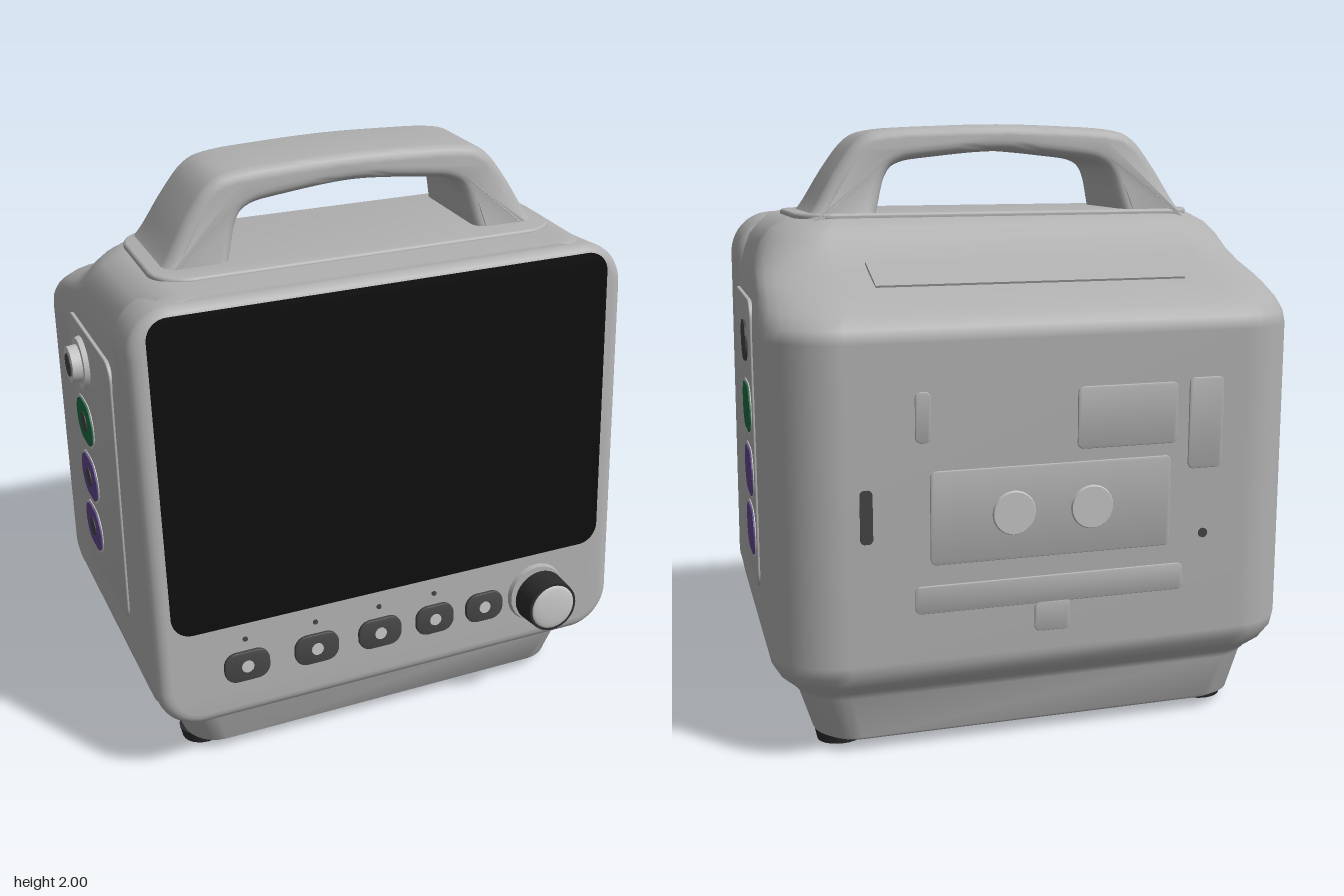
import * as THREE from 'three';
import { toCreasedNormals } from 'three/addons/utils/BufferGeometryUtils.js';

const CX = 0.02; // centre line of the casing

const mat = (name, color) => Object.assign(new THREE.MeshStandardMaterial({ color }), { name });

function add(parent, name, geo, material, x = 0, y = 0, z = 0) {
  const m = new THREE.Mesh(geo, material);
  m.name = name;
  m.position.set(x, y, z);
  parent.add(m);
  return m;
}

// Rounded plate in the xy plane, from z = 0 to z = depth
function plate(w, h, r, depth, bevel = 0) {
  const s = new THREE.Shape(), a = w / 2, b = h / 2;
  s.absarc(a - r, b - r, r, 0, Math.PI / 2);
  s.absarc(-a + r, b - r, r, Math.PI / 2, Math.PI);
  s.absarc(-a + r, -b + r, r, Math.PI, Math.PI * 1.5);
  s.absarc(a - r, -b + r, r, Math.PI * 1.5, Math.PI * 2);
  s.closePath();
  const g = new THREE.ExtrudeGeometry(s, {
    depth: depth - 2 * bevel, bevelEnabled: bevel > 0, bevelSize: bevel, bevelThickness: bevel,
    bevelOffset: -bevel, bevelSegments: 5, curveSegments: 8,
  });
  g.translate(0, 0, bevel);
  return toCreasedNormals(g, 0.6);
}

// Round part whose axis is z, from z = 0 to z = depth
function round(r0, r1, depth, sides = 32) {
  return new THREE.CylinderGeometry(r1, r0, depth, sides).rotateX(Math.PI / 2).translate(0, 0, depth / 2);
}

// Casing lofted from horizontal rounded sections: y, front z, back z, half width, front radius, back radius
function casingGeometry() {
  const sections = [
    [0.03, 0.44, -0.57, 0.71, 0.1, 0.12], [0.05, 0.48, -0.6, 0.74, 0.12, 0.14],
    [0.19, 0.505, -0.615, 0.785, 0.12, 0.15], [0.22, 0.52, -0.64, 0.81, 0.12, 0.17],
    [0.26, 0.54, -0.69, 0.85, 0.1, 0.2], [0.3, 0.55, -0.72, 0.873, 0.08, 0.22],
    [0.34, 0.55, -0.726, 0.88, 0.06, 0.22], [1.35, 0.46, -0.726, 0.88, 0.06, 0.22],
    [1.39, 0.455, -0.712, 0.878, 0.06, 0.22], [1.43, 0.45, -0.67, 0.874, 0.06, 0.23],
    [1.47, 0.45, -0.6, 0.868, 0.06, 0.24], [1.5, 0.445, -0.53, 0.865, 0.06, 0.25],
    [1.53, 0.44, -0.44, 0.86, 0.06, 0.25], [1.57, 0.44, -0.34, 0.85, 0.06, 0.22],
    [1.62, 0.435, -0.28, 0.83, 0.06, 0.2], [1.66, 0.43, -0.24, 0.795, 0.06, 0.18],
    [1.69, 0.425, -0.21, 0.74, 0.06, 0.16], [1.7, 0.42, -0.18, 0.68, 0.06, 0.14],
  ];
  const pos = [], idx = [], seg = 7, n = seg * 4 + 4;
  for (const [y, zf, zb, hw, rf, rb] of sections) {
    for (let k = 0; k < 4; k++) {
      const r = k < 2 ? rf : rb, sx = k === 0 || k === 3 ? 1 : -1;
      for (let j = 0; j <= seg; j++) {
        const a = (k + j / seg) * Math.PI / 2;
        const z = (k < 2 ? zf - rf : zb + rb) + r * Math.sin(a);
        const narrowing = 1 - 0.028 * Math.max(0, z + 0.5); // sides close in towards the front
        pos.push(CX + (sx * (hw - r) + r * Math.cos(a)) * narrowing, y, z);
      }
    }
  }
  const rows = sections.length;
  for (let i = 0; i < rows - 1; i++) {
    for (let j = 0; j < n; j++) {
      const p = i * n + j, q = i * n + (j + 1) % n;
      idx.push(p, p + n, q, q, p + n, q + n);
    }
  }
  const bottom = rows * n, top = bottom + 1;
  pos.push(CX, 0.03, -0.05, CX, 1.7, 0.1);
  for (let j = 0; j < n; j++) {
    const q = (j + 1) % n, t = (rows - 1) * n;
    idx.push(bottom, j, q, top, t + q, t + j);
  }
  const g = new THREE.BufferGeometry();
  g.setAttribute('position', new THREE.Float32BufferAttribute(pos, 3));
  g.setIndex(idx);
  g.computeVertexNormals();
  return g;
}

// Arched carrying handle, thickening towards its feet
function handleGeometry() {
  const arch = (half) => {
    const right = half.slice(0, -1).reverse().map(([x, y]) => [-x, y]);
    return new THREE.SplineCurve([...half, ...right].map(([x, y]) => new THREE.Vector2(x, y))).getPoints(56);
  };
  const outer = arch([[-0.71, 1.66], [-0.65, 1.72], [-0.57, 1.85], [-0.49, 1.95], [-0.4, 1.983], [-0.2, 1.995], [0, 2]]);
  const inner = arch([[-0.45, 1.66], [-0.43, 1.73], [-0.4, 1.83], [-0.355, 1.872], [-0.25, 1.89], [0, 1.91]]);
  const bevel = 0.035;
  let g = new THREE.ExtrudeGeometry(new THREE.Shape([...outer, ...inner.reverse()]), {
    depth: 0.24, bevelEnabled: true, bevelSize: bevel, bevelThickness: bevel, bevelOffset: -bevel, bevelSegments: 5,
  });
  g.translate(0, 0, -0.12);
  const p = g.attributes.position;
  for (let i = 0; i < p.count; i++) {
    const t = THREE.MathUtils.clamp((1.99 - p.getY(i)) / 0.33, 0, 1);
    p.setZ(i, p.getZ(i) * (1 + 0.2 * t + 0.22 * t ** 4));
  }
  return toCreasedNormals(g, 0.7);
}

export function createModel() {
  const model = new THREE.Group();
  model.name = 'bedsideMonitor';
  const shell = mat('shellGrey', 0xb0b0b0);
  const light = mat('lightGrey', 0xc4c4c4);
  const black = mat('screenBlack', 0x0d0d0d);
  const dark = mat('darkGrey', 0x444444);
  const rubber = mat('rubber', 0x2b2b2b);
  const green = mat('socketGreen', 0x1f6b42);
  const purple = mat('socketPurple', 0x60478a);

  add(model, 'casing', casingGeometry(), shell);
  add(model, 'handle', handleGeometry(), shell, CX, 0, 0.01);
  add(model, 'handlePad', plate(1.42, 0.5, 0.12, 0.03, 0.01), shell, CX, 1.68, 0.05).rotation.x = -Math.PI / 2;
  add(model, 'rearShoulderRidge', new THREE.BoxGeometry(1.04, 0.016, 0.17), shell, CX, 1.527, -0.455).rotation.x = -0.36;

  // Leaning front panel with screen, buttons and knob
  const front = new THREE.Group();
  front.name = 'frontPanel';
  front.position.set(CX, 0.27, 0.6);
  front.rotation.x = -0.0913;
  model.add(front);
  add(front, 'bezel', plate(1.72, 1.465, 0.15, 0.23, 0.045), shell, 0, 0.6975, -0.23);
  add(front, 'screen', plate(1.59, 1.08, 0.07, 0.009), black, -0.005, 0.863, -0.003);
  [-0.535, -0.285, -0.05, 0.16, 0.355].forEach((x, i) => {
    add(front, 'button', plate(i < 3 ? 0.16 : 0.145, 0.11, 0.045, 0.016, 0.004), dark, x - CX, 0.163, -0.004);
    add(front, 'buttonMark', round(0.022, 0.022, 0.004, 12), light, x - CX, 0.163, 0.011);
    if (i < 4) add(front, 'indicator', round(0.009, 0.009, 0.005, 10), dark, x - CX, 0.262, -0.001);
  });
  const knob = new THREE.Group();
  knob.name = 'knob';
  knob.position.set(0.545, 0.17, 0);
  front.add(knob);
  add(knob, 'knobCollar', round(0.112, 0.105, 0.02), shell, 0, 0, -0.004);
  add(knob, 'knobStem', round(0.078, 0.078, 0.05), rubber);
  add(knob, 'knobGrip', round(0.098, 0.092, 0.09), rubber, 0, 0, 0.035);
  add(knob, 'knobCap', new THREE.SphereGeometry(0.083, 32, 8, 0, Math.PI * 2, 0, Math.PI / 2)
    .rotateX(Math.PI / 2).scale(1, 1, 0.14), light, 0, 0, 0.125);

  // Connector panels on both sides
  for (const s of [1, -1]) {
    const side = new THREE.Group();
    side.name = s > 0 ? 'leftConnectorPanel' : 'rightConnectorPanel';
    side.position.set(CX + s * 0.8677, 0, 0);
    side.rotation.y = s * (Math.PI / 2 - 0.0246);
    model.add(side);
    add(side, 'sidePlate', plate(0.53, 0.97, 0.06, 0.014, 0.004), shell, s * 0.01, 0.955, -0.006);
    const sockets = [[1.07, green], [0.85, purple], [0.645, purple]];
    for (const [y, m] of sockets) {
      const w = s > 0 ? 0.25 : 0.2;
      add(side, 'socketRim', plate(w + 0.02, 0.175, 0.085, 0.004), light, s * 0.125, y, 0.007);
      add(side, 'socket', plate(w, 0.155, 0.075, 0.008), m, s * 0.125, y, 0.007);
      if (s < 0) add(side, 'socketCore', round(0.035, 0.035, 0.004, 16), dark, s * 0.125, y, 0.014);
    }
    if (s > 0) {
      add(side, 'roundSocket', plate(0.17, 0.135, 0.066, 0.008), dark, 0.095, 1.29, 0.007);
    } else {
      add(side, 'jackFlange', round(0.095, 0.088, 0.025), light, -0.09, 1.31, 0);
      add(side, 'jackBarrel', round(0.068, 0.062, 0.058), light, -0.09, 1.31, 0);
      add(side, 'jackCore', round(0.04, 0.04, 0.004, 20), dark, -0.09, 1.31, 0.057);
    }
  }

  // Raised mounting details on the back
  const back = new THREE.Group();
  back.name = 'backDetails';
  back.position.set(CX, 0, -0.724);
  back.rotation.y = Math.PI;
  model.add(back);
  const ribs = [
    [0, 0.8, 0.8, 0.3], [0, 0.54, 0.9, 0.09], [0.25, 1.09, 0.34, 0.2],
    [-0.42, 1.12, 0.05, 0.16], [0.52, 1.05, 0.12, 0.3], [0, 0.45, 0.12, 0.1],
  ];
  for (const [x, y, w, h] of ribs) add(back, 'backRib', plate(w, h, 0.02, 0.009, 0.003), shell, x, y, -0.002);
  for (const x of [-0.13, 0.13]) add(back, 'mountBoss', round(0.075, 0.068, 0.014), light, x, 0.8, 0);
  add(back, 'backSlot', plate(0.04, 0.17, 0.015, 0.006), dark, -0.6, 0.82, -0.001);
  add(back, 'backScrew', round(0.016, 0.016, 0.006, 12), dark, 0.52, 0.68, 0);

  // Rubber feet
  for (const x of [-0.65, 0.65]) for (const z of [0.35, -0.455]) {
    add(model, 'foot', new THREE.CylinderGeometry(0.085, 0.075, 0.045, 24).scale(1, 1, 0.85), rubber, CX + x, 0.0225, z);
  }
  return model;
}
